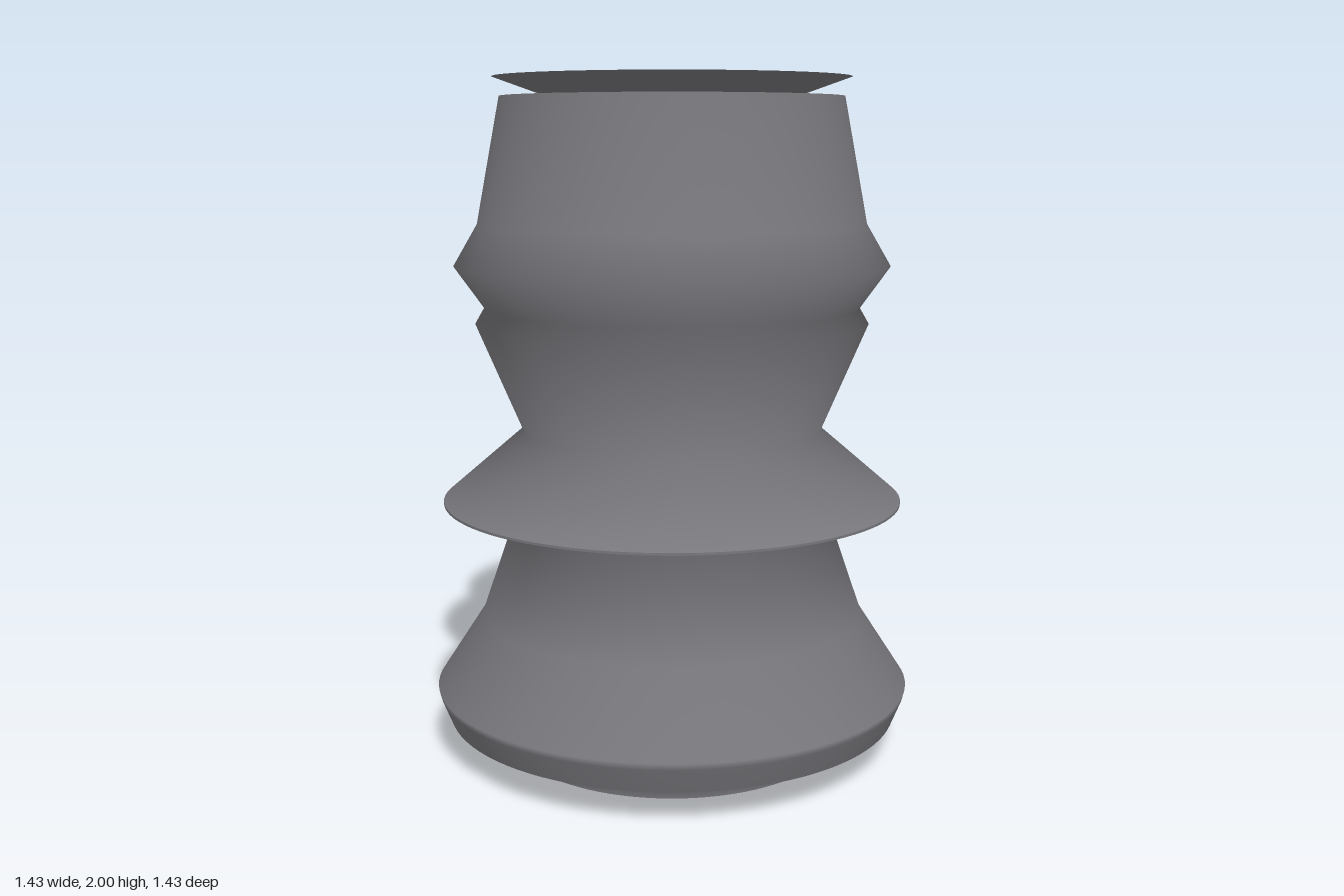
import * as THREE from 'three';

const SEGMENTS = 96;

export function createModel() {
  const model = new THREE.Group();
  model.name = 'vase';
  const clay = new THREE.MeshStandardMaterial({ color: 0x78777c, side: THREE.DoubleSide });
  clay.name = 'dark grey clay';

  // Turns a profile of [radius, height] pairs around the y axis; normals are smooth within one part
  const turn = (name, profile) => {
    const points = profile.map(([r, y]) => new THREE.Vector2(r, y));
    const mesh = new THREE.Mesh(new THREE.LatheGeometry(points, SEGMENTS), clay);
    mesh.name = name;
    model.add(mesh);
  };

  // Foot, with its flat underside
  turn('underside', [[0, 0], [0.495, 0]]);
  turn('foot', [[0.495, 0], [0.505, 0.07], [0.68, 0.1]]);

  // Lower bulge, rising to the underside of the flange
  turn('lowerBody', [
    [0.68, 0.1], [0.71, 0.175], [0.715, 0.195], [0.575, 0.41], [0.465, 0.73], [0.685, 0.757],
  ]);

  // Flange with a thin edge, waist, ridges and shoulder
  turn('flangeEdge', [[0.685, 0.757], [0.685, 0.764]]);
  turn('upperBody', [
    [0.685, 0.764], [0.445, 0.97], [0.58, 1.29], [0.553, 1.337],
    [0.64, 1.46], [0.57, 1.58], [0.5, 1.945],
  ]);

  // Flared mouth, inner wall and floor
  turn('mouth', [[0.52, 2], [0.365, 1.945]]);
  turn('innerWall', [[0.365, 1.945], [0.365, 0.06]]);
  turn('innerFloor', [[0.365, 0.06], [0, 0.06]]);

  return model;
}
